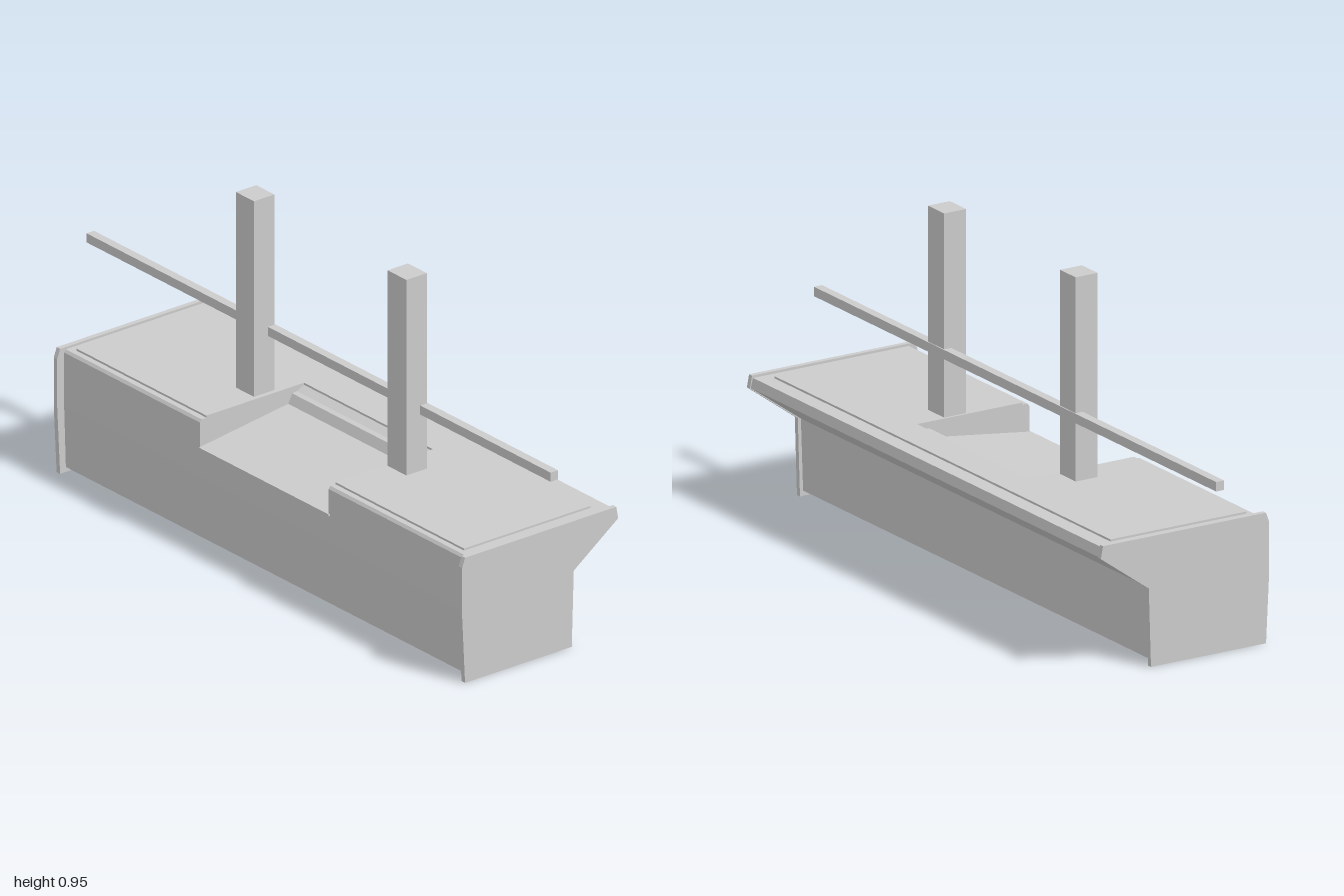
import * as THREE from 'three';

const material = new THREE.MeshStandardMaterial({ color: 0xcccccc, flatShading: true });

export function createModel() {
  const group = new THREE.Group();
  const add = (name, geometry) => {
    const mesh = new THREE.Mesh(geometry, material);
    mesh.name = name;
    group.add(mesh);
    return mesh;
  };
  const shapeOf = (points) => new THREE.Shape(points.map(([a, b]) => new THREE.Vector2(a, b)));

  // Box given by its lower and upper corners
  const box = (name, [x0, y0, z0], [x1, y1, z1]) =>
    add(name, new THREE.BoxGeometry(x1 - x0, y1 - y0, z1 - z0))
      .position.set((x0 + x1) / 2, (y0 + y1) / 2, (z0 + z1) / 2);

  // A (z, y) side profile swept along x from x0 to x1
  const sweep = (name, profile, x0, x1) => {
    const geometry = new THREE.ExtrudeGeometry(shapeOf(profile), { depth: x1 - x0, bevelEnabled: false });
    geometry.rotateY(-Math.PI / 2).translate(x1, 0, 0);
    add(name, geometry);
  };

  // End panels
  const endProfile = [
    [0.262, 0], [0.272, 0.2], [0.272, 0.345], [0.262, 0.373],
    [-0.265, 0.373], [-0.272, 0.337], [-0.117, 0.225], [-0.11, 0],
  ];
  sweep('rightEndPanel', endProfile, -0.805, -0.79);
  sweep('leftEndPanel', endProfile, 0.94, 0.955);

  // Counter body: full-height sides and a recessed middle
  const back = [[-0.262, 0.366], [-0.269, 0.338], [-0.107, 0.222], [-0.1, 0.015]];
  const front = [[0.242, 0.015], [0.248, 0.2]];
  const sideProfile = [...front, [0.248, 0.358], [0.242, 0.366], ...back];
  const recessProfile = [
    ...front, [0.248, 0.285], [-0.06, 0.325], [-0.074, 0.352],
    [-0.09, 0.354], [-0.115, 0.366], ...back,
  ];
  sweep('bodyRight', sideProfile, -0.79, -0.205);
  sweep('bodyRecess', recessProfile, -0.205, 0.35);
  sweep('bodyLeft', sideProfile, 0.35, 0.94);
  box('recessLip', [-0.205, 0.279, 0.24], [0.355, 0.285, 0.252]);

  // Thin raised worktop surrounding the recess
  const worktop = new THREE.ExtrudeGeometry(shapeOf([
    [-0.765, -0.225], [-0.205, -0.225], [-0.205, 0.115], [0.35, 0.115],
    [0.35, -0.225], [0.905, -0.225], [0.905, 0.215], [-0.765, 0.215],
  ]), { depth: 0.008, bevelEnabled: false });
  worktop.rotateX(-Math.PI / 2).translate(0, 0.364, 0);
  add('worktop', worktop);

  // Posts and the long crossbar
  box('rightPost', [-0.297, 0.365, -0.023], [-0.219, 0.955, 0.048]);
  box('leftPost', [0.357, 0.365, -0.023], [0.438, 0.955, 0.048]);
  box('crossbar', [-1, 0.54, -0.026], [1, 0.567, 0]);

  return group;
}
